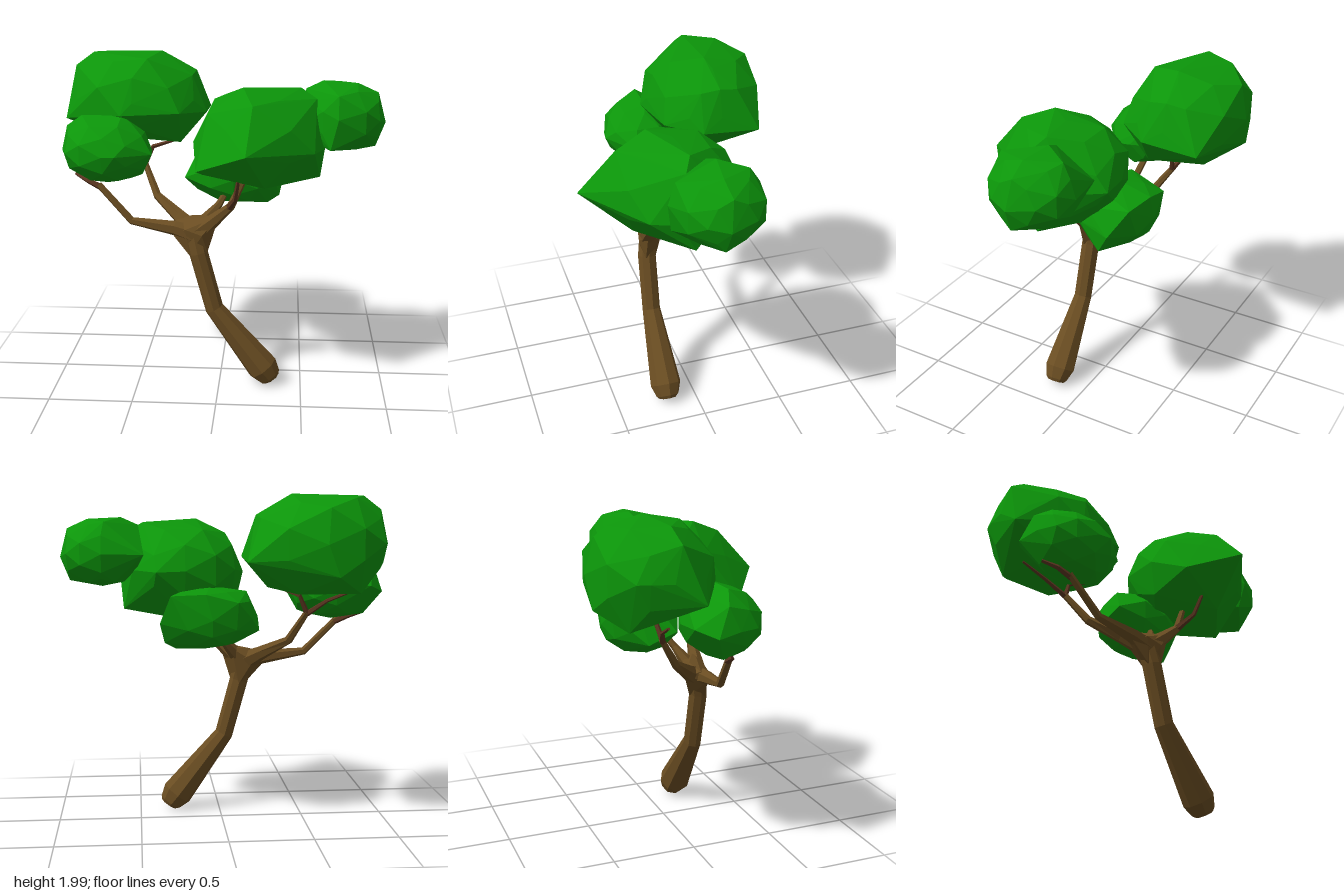
import * as THREE from 'three';
import { ConvexGeometry } from 'three/addons/geometries/ConvexGeometry.js';

const bark = new THREE.MeshStandardMaterial({ color: 0x6a4d22, flatShading: true });
const twigBark = new THREE.MeshStandardMaterial({ color: 0x5a3520, flatShading: true });
const leaf = new THREE.MeshStandardMaterial({ color: 0x0c960a, flatShading: true });

// Faceted limb swept through stations [x, y, z, radius], closed at both ends
function limb(name, stations, sides = 8, material = bark) {
  const centres = stations.map(([x, y, z]) => new THREE.Vector3(x, y, z));
  const last = centres.length - 1;
  const pos = [], index = [];
  centres.forEach((p, i) => {
    const t = centres[Math.min(i + 1, last)].clone().sub(centres[Math.max(i - 1, 0)]).normalize();
    const u = new THREE.Vector3(0, 0, 1).cross(t).normalize();
    const v = t.clone().cross(u);
    for (let j = 0; j < sides; j++) {
      const a = (j / sides) * Math.PI * 2, r = stations[i][3];
      const q = p.clone().addScaledVector(u, r * Math.cos(a)).addScaledVector(v, r * Math.sin(a));
      pos.push(q.x, q.y, q.z);
    }
  });
  const start = pos.length / 3;
  pos.push(...centres[0].toArray(), ...centres[last].toArray());
  for (let j = 0; j < sides; j++) {
    const k = (j + 1) % sides;
    for (let i = 0; i < last; i++) {
      const a = i * sides + j, b = i * sides + k;
      index.push(a, b, b + sides, a, b + sides, a + sides);
    }
    index.push(start, k, j, start + 1, last * sides + j, last * sides + k);
  }
  const geo = new THREE.BufferGeometry();
  geo.setAttribute('position', new THREE.Float32BufferAttribute(pos, 3));
  geo.setIndex(index);
  geo.computeVertexNormals();
  const mesh = new THREE.Mesh(geo, material);
  mesh.name = name;
  return mesh;
}

// Faceted solid wrapped around a set of points
function hull(name, points, material) {
  const mesh = new THREE.Mesh(new ConvexGeometry(points), material);
  mesh.name = name;
  return mesh;
}

const toVectors = (list) => list.map((c) => new THREE.Vector3(...c));

// Leaf clump: a plump ball (n above 2 squares it off) plus the corners that give it character
function clump(name, n, centre, radii, corners) {
  const core = new THREE.IcosahedronGeometry(1, 1).attributes.position;
  const seen = new Map();
  for (let i = 0; i < core.count; i++) {
    const p = new THREE.Vector3().fromBufferAttribute(core, i);
    const key = p.toArray().map((c) => Math.round(c * 100)).join();
    const size = (Math.abs(p.x) ** n + Math.abs(p.y) ** n + Math.abs(p.z) ** n) ** (1 / n);
    p.multiplyScalar(0.97 / size).multiply(new THREE.Vector3(...radii));
    seen.set(key, p.add(new THREE.Vector3(...centre)));
  }
  return hull(name, [...seen.values(), ...toVectors(corners)], leaf);
}

export function createModel() {
  const tree = new THREE.Group();
  tree.name = 'tree';

  // Leaning trunk with a rounded foot
  tree.add(limb('trunk', [
    [0.32, 0.045, 0.185, 0.055], [0.31, 0.06, 0.185, 0.072], [0.268, 0.118, 0.185, 0.097],
    [-0.03, 0.5, 0.185, 0.057], [-0.125, 0.85, 0.18, 0.057], [-0.15, 0.96, 0.16, 0.06],
  ]));

  // Swollen fork where the branches meet
  tree.add(hull('fork', toVectors([
    [-0.18, 0.84, 0.2], [-0.07, 0.86, 0.2], [-0.12, 0.83, 0.125], [-0.29, 0.97, 0.17], [-0.28, 1.03, 0.13],
    [-0.03, 1.0, 0.2], [0.0, 1.085, 0.2], [-0.2, 0.98, 0.06], [-0.17, 1.06, 0.1], [-0.07, 1.06, 0.09],
    [-0.2, 1.0, 0.215], [-0.1, 0.97, 0.235],
  ]), bark));

  // Main branches
  tree.add(limb('rightBranch', [
    [-0.15, 0.96, 0.17, 0.055], [-0.27, 0.995, 0.16, 0.045], [-0.53, 1.03, 0.14, 0.024], [-0.73, 1.24, 0.1, 0.02],
  ], 6));
  tree.add(limb('backBranch', [
    [-0.17, 0.98, 0.13, 0.06], [-0.25, 1.035, 0.05, 0.043], [-0.4, 1.13, -0.08, 0.026], [-0.49, 1.31, -0.2, 0.018],
  ], 6));
  tree.add(limb('leftBranch', [
    [-0.13, 0.97, 0.17, 0.06], [-0.04, 1.05, 0.19, 0.042], [0.07, 1.15, 0.21, 0.025], [0.16, 1.34, 0.19, 0.017],
  ], 6));
  tree.add(limb('innerBranch', [
    [-0.1, 1.02, 0.13, 0.045], [-0.01, 1.12, 0.07, 0.022], [0.05, 1.22, 0.0, 0.016],
  ], 6));

  // Thin twigs reaching into the leaves
  const twigs = [
    [[0.06, 1.14, 0.21, 0.022], [0.1, 1.22, 0.32, 0.015], [0.12, 1.34, 0.37, 0.012]],
    [[-0.49, 1.3, -0.195, 0.018], [-0.44, 1.41, -0.22, 0.014], [-0.26, 1.48, -0.14, 0.008]],
    [[-0.49, 1.3, -0.195, 0.018], [-0.6, 1.38, -0.24, 0.012], [-0.77, 1.45, -0.27, 0.008]],
    [[-0.71, 1.22, 0.1, 0.02], [-0.8, 1.26, 0.08, 0.016], [-0.88, 1.29, 0.03, 0.01]],
  ];
  twigs.forEach((t, i) => tree.add(limb(`twig${i + 1}`, t, 5, twigBark)));

  // Leaf clumps
  tree.add(clump('largeBackLeaves', 2.2, [-0.53, 1.72, -0.3], [0.42, 0.28, 0.36], [
    [-0.91, 1.91, -0.25], [-0.8, 1.99, -0.27], [-0.38, 2.0, -0.27], [-0.17, 1.88, -0.3], [-0.72, 1.975, -0.46],
    [-0.45, 1.97, -0.08], [-0.1, 1.62, -0.53], [-0.1, 1.64, -0.18], [-0.26, 1.455, -0.15], [-0.4, 1.435, -0.45],
    [-0.96, 1.6, -0.13], [-0.6, 1.65, 0.07], [-0.25, 1.66, 0.02], [-0.55, 1.92, -0.6], [-0.6, 1.54, -0.63],
    [-0.75, 1.44, -0.48], [-0.91, 1.72, -0.42],
  ]));
  tree.add(clump('rightLeaves', 2, [-0.68, 1.445, 0.06], [0.28, 0.205, 0.235], [
    [-0.93, 1.58, 0.0], [-0.83, 1.65, 0.04], [-0.59, 1.65, 0.04], [-0.4, 1.44, 0.16], [-0.87, 1.28, 0.0],
    [-0.97, 1.42, -0.07], [-0.6, 1.45, 0.3], [-0.88, 1.46, -0.17], [-0.47, 1.3, 0.06], [-0.77, 1.42, 0.255],
  ]));
  tree.add(clump('largeFrontLeaves', 2.2, [0.23, 1.555, 0.125], [0.36, 0.29, 0.37], [
    [0.17, 1.54, 0.655], [-0.03, 1.77, 0.12], [0.14, 1.855, 0.25], [0.47, 1.835, 0.1], [0.56, 1.78, 0.15],
    [0.61, 1.5, 0.2], [0.59, 1.31, 0.1], [-0.1, 1.33, 0.18], [-0.15, 1.53, 0.2], [0.2, 1.78, 0.44],
    [-0.115, 1.41, 0.45], [0.4, 1.55, -0.24], [0.55, 1.5, 0.35], [0.27, 1.3, 0.37], [0.2, 1.255, -0.08],
  ]));
  tree.add(clump('leftLeaves', 2.2, [0.715, 1.655, 0.02], [0.245, 0.205, 0.26], [
    [0.5, 1.82, 0.02], [0.6, 1.865, 0.0], [0.8, 1.855, 0.03], [0.92, 1.8, 0.02], [0.965, 1.63, 0.04],
    [0.91, 1.49, 0.05], [0.47, 1.65, -0.2], [0.68, 1.68, 0.29], [0.64, 1.5, 0.26], [0.68, 1.81, 0.25],
    [0.7, 1.84, -0.15], [0.72, 1.51, -0.16],
  ]));
  tree.add(clump('lowBackLeaves', 2.2, [0.08, 1.28, -0.13], [0.28, 0.19, 0.245], [
    [-0.14, 1.43, -0.1], [-0.22, 1.27, 0.0], [-0.21, 1.2, -0.17], [0.1, 1.09, -0.12], [0.28, 1.09, -0.12],
    [0.35, 1.13, -0.15], [0.38, 1.25, -0.22], [-0.07, 1.38, -0.35], [0.32, 1.42, -0.33], [0.12, 1.16, -0.31],
    [0.12, 1.43, -0.36],
  ]));

  return tree;
}
